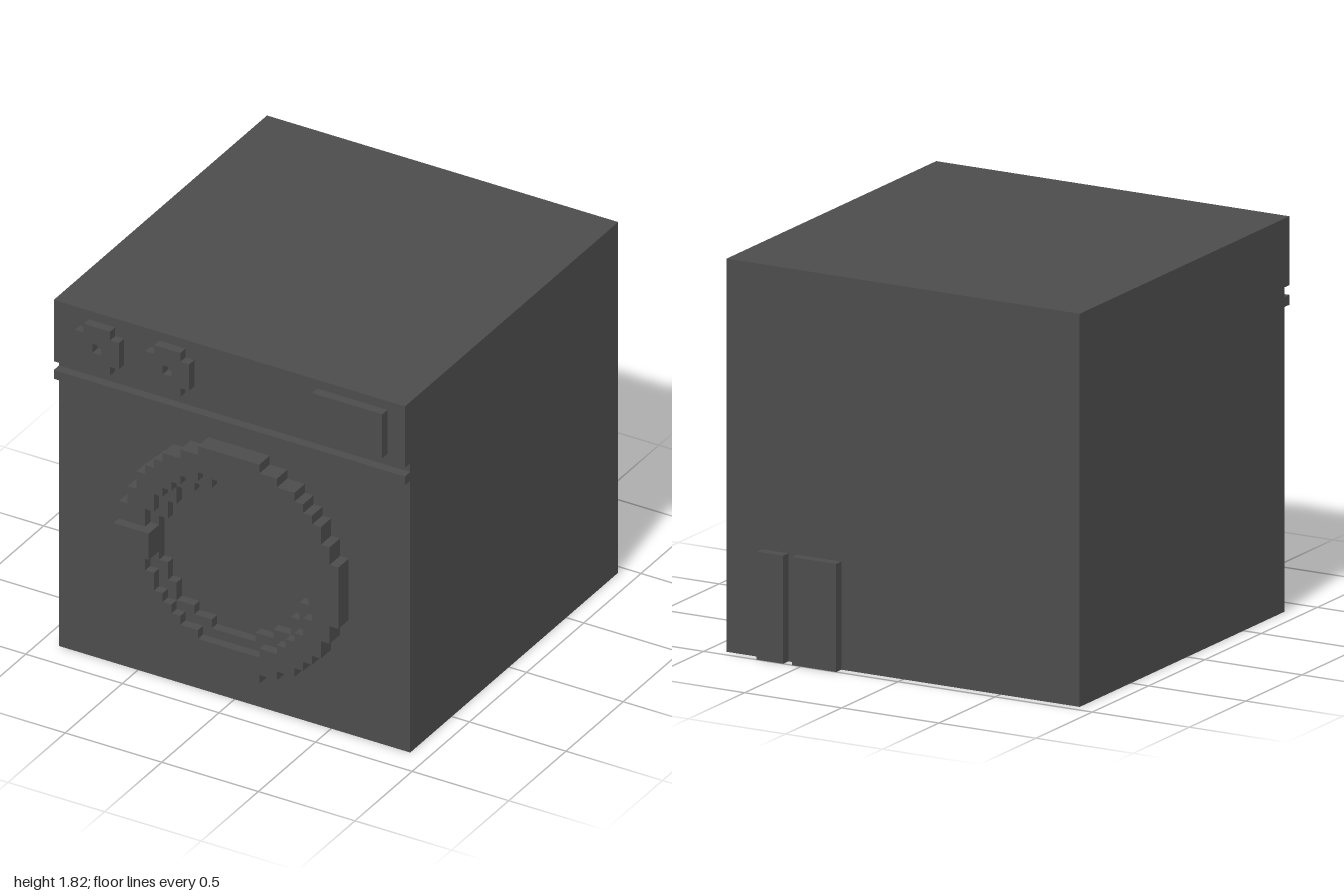
import * as THREE from 'three';

const U = 1 / 22; // one voxel

export function createModel() {
  const root = new THREE.Group();
  root.name = 'washingMachine';
  const grey = new THREE.MeshStandardMaterial({ color: 0x4c4c4c });
  grey.name = 'darkGrey';

  const add = (name, geometry) => {
    const mesh = new THREE.Mesh(geometry, grey);
    mesh.name = name;
    root.add(mesh);
    return mesh;
  };

  // Box given by its limits in voxels
  const box = (name, x0, x1, y0, y1, z0, z1) => {
    const g = new THREE.BoxGeometry((x1 - x0) * U, (y1 - y0) * U, (z1 - z0) * U);
    g.translate((x0 + x1) / 2 * U, (y0 + y1) / 2 * U, (z0 + z1) / 2 * U);
    return add(name, g);
  };

  // Stepped outline of a voxel disc of radius r, centred on a voxel
  const disc = (r, cx, cy) => {
    const n = Math.floor(r);
    const half = (row) => Math.floor(Math.sqrt(r * r - row * row)) + 0.5;
    const side = [];
    const push = (x, y) => side.push(new THREE.Vector2((cx + x) * U, (cy + y) * U));
    const rows = [];
    for (let row = -n; row <= n; row++) {
      const last = rows[rows.length - 1];
      if (last && last.w === half(row)) last.top = row + 0.5;
      else rows.push({ w: half(row), bottom: row - 0.5, top: row + 0.5 });
    }
    for (const s of rows) { push(s.w, s.bottom); push(s.w, s.top); }
    for (const s of rows.reverse()) { push(-s.w, s.top); push(-s.w, s.bottom); }
    return side;
  };

  // Flat plate with a hole, from z0 to z1 in voxels
  const plate = (name, outline, hole, z0, z1) => {
    const shape = new THREE.Shape(outline);
    shape.holes.push(new THREE.Path(hole));
    const g = new THREE.ExtrudeGeometry(shape, { depth: (z1 - z0) * U, bevelEnabled: false });
    g.translate(0, 0, z0 * U);
    return add(name, g);
  };

  // Cabinet, control panel and the trim strip below it
  box('cabinet', -20, 20, 0, 40, -21, 19);
  box('controlPanel', -20, 20, 33, 40, 19, 20);
  box('trimStrip', -20, 20, 31, 32, 19, 20);
  box('displayPanel', 10, 18, 34, 39, 20, 21);

  // Dials: five voxels wide with a hole in the middle
  for (const cx of [-14.5, -6.5]) {
    plate('dial', disc(2.5, cx, 36.5), disc(0.5, cx, 36.5), 20, 21);
  }

  // Door ring, recessed inner rim and handle
  plate('doorRing', disc(12.5, 0.5, 16.5), disc(9.5, 0.5, 16.5), 19, 21);
  plate('doorInnerRim', disc(10.5, 0.5, 16.5), disc(8.5, 0.5, 16.5), 19, 20);
  box('doorHandle', -12, -8, 15, 18, 19, 22);

  // Pipes at the back
  box('widePipe', 7, 12, 0, 11, -22, -21);
  box('narrowPipe', 13, 16, 0, 11, -22, -21);

  return root;
}
